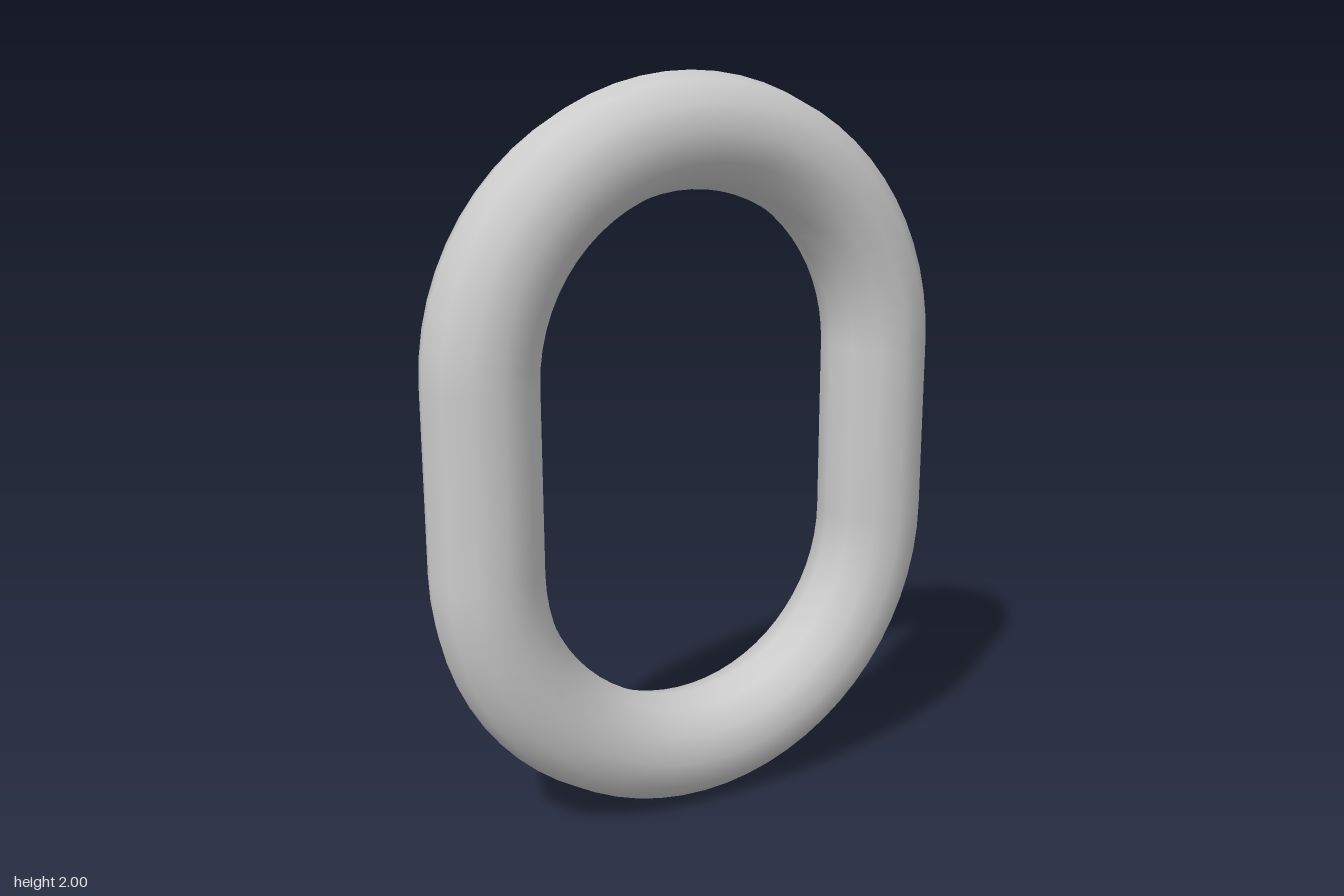
import * as THREE from 'three';

const BEND = 0.605;   // centreline radius of the rounded ends
const WIRE = 0.15;    // thickness radius of the bar
const SIDES = 12;
const HALF = 1 - WIRE - BEND; // half length of the straight bars

export function createModel() {
  const link = new THREE.Group();
  link.name = 'chainLink';
  const material = new THREE.MeshStandardMaterial({ color: 0xcccccc });

  const add = (name, geometry, x, y) => {
    const mesh = new THREE.Mesh(geometry, material);
    mesh.name = name;
    mesh.position.set(x, y, 0);
    link.add(mesh);
    return mesh;
  };

  // Rounded ends: two half rings
  const bend = new THREE.TorusGeometry(BEND, WIRE, SIDES, 32, Math.PI);
  add('topBend', bend, 0, 1 + HALF);
  add('bottomBend', bend, 0, 1 - HALF).rotation.z = Math.PI;

  // Straight bars joining the ends, open where they meet the bends
  const bar = new THREE.CylinderGeometry(WIRE, WIRE, 2 * HALF, SIDES, 1, true);
  add('leftBar', bar, BEND, 1);
  add('rightBar', bar, -BEND, 1);

  return link;
}
